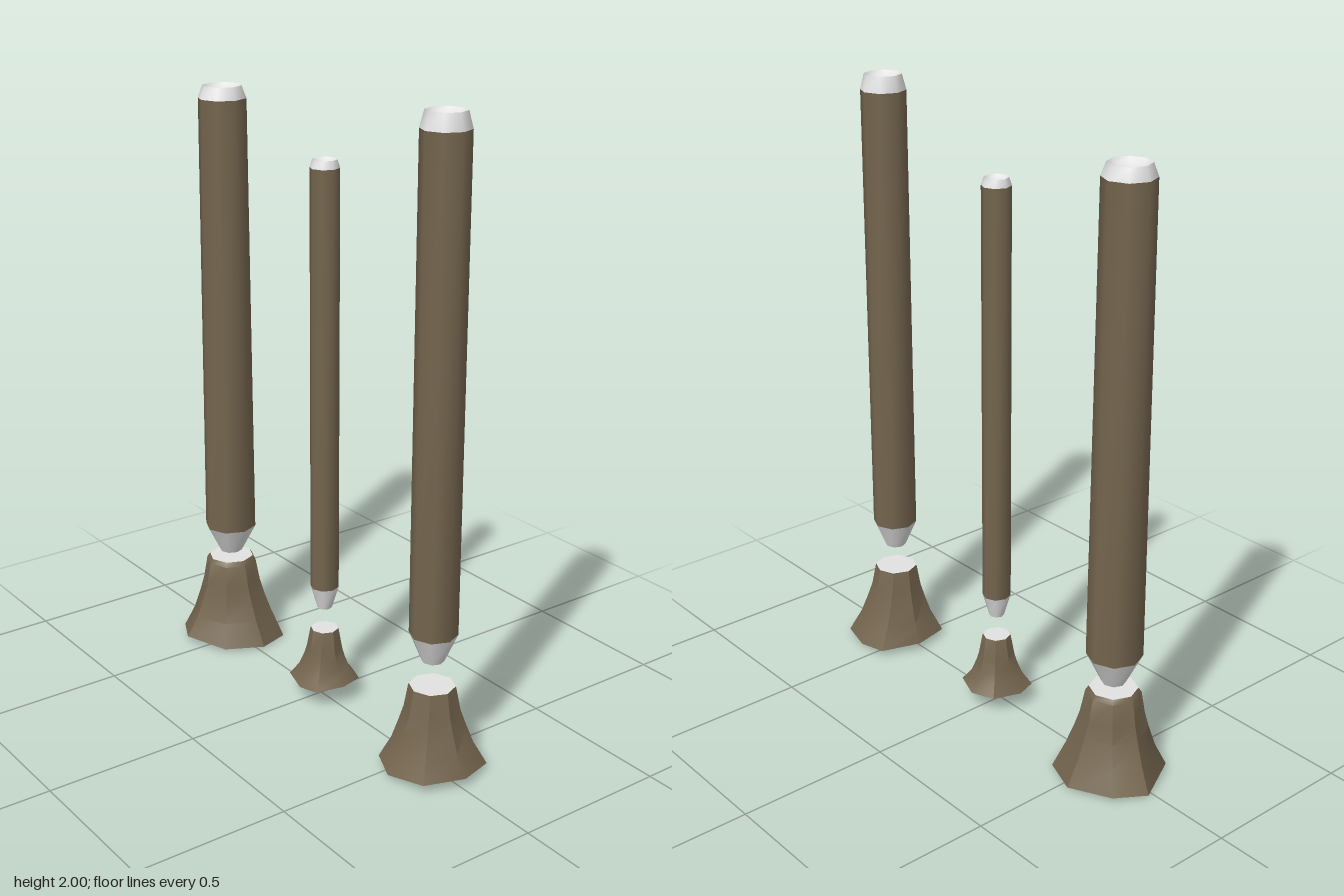
import * as THREE from 'three';
import { toCreasedNormals } from 'three/addons/utils/BufferGeometryUtils.js';

const SIDES = 8;

// Octagonal ring of points around (cx, cz)
const ring = (cx, cz, y, r) => Array.from({ length: SIDES }, (_, i) => {
  const a = (i / SIDES) * Math.PI * 2;
  return [cx + r * Math.cos(a), y, cz + r * Math.sin(a)];
});

// Skin a stack of rings, listed from bottom to top
function loft(rings, crease) {
  const index = [];
  for (let k = 0; k < rings.length - 1; k++) {
    for (let i = 0; i < SIDES; i++) {
      const j = (i + 1) % SIDES;
      const a = k * SIDES + i, b = k * SIDES + j, c = a + SIDES, d = b + SIDES;
      index.push(a, c, b, b, c, d);
    }
  }
  const g = new THREE.BufferGeometry();
  g.setAttribute('position', new THREE.Float32BufferAttribute(rings.flat(2), 3));
  g.setIndex(index);
  return toCreasedNormals(g, crease);
}

// rim: outline of the root flare as [x, y, z]; flare: [height, outward fraction]
const TREES = [
  {
    name: 'largeTree', x: -0.54, z: -0.005,
    cone: [0.32, 0.038], low: [0.415, 0.087], high: [1.89, 0.079], top: [1.93, 0.064],
    stump: [0.3, 0.076], neck: 0.086,
    flare: [[0.09, 0.58], [0.16, 0.31], [0.21, 0.15], [0.285, 0]],
    rim: [[-0.365, 0.005, -0.02], [-0.42, 0.01, 0.105], [-0.56, 0.022, 0.17], [-0.65, 0.02, 0.125],
      [-0.72, 0.005, -0.02], [-0.667, 0.012, -0.12], [-0.53, 0.005, -0.18], [-0.405, 0, -0.13]],
  },
  {
    name: 'smallTree', x: 0.008, z: -0.008,
    cone: [0.315, 0.024], low: [0.39, 0.046], high: [1.755, 0.046], top: [1.78, 0.038],
    stump: [0.24, 0.045], neck: 0.047,
    flare: [[0.1, 0.55], [0.14, 0.3], [0.17, 0.17], [0.235, 0]],
    rim: [[0.117, 0.07, -0.006], [0.087, 0.064, 0.083], [0.02, 0.06, 0.1], [-0.08, 0.06, 0.07],
      [-0.1, 0.058, 0.005], [-0.07, 0.06, -0.088], [0.005, 0.06, -0.118], [0.09, 0.065, -0.088]],
  },
  {
    name: 'tallTree', x: 0.557, z: -0.006,
    cone: [0.36, 0.035], low: [0.45, 0.074], high: [1.95, 0.073], top: [2, 0.06],
    stump: [0.277, 0.071], neck: 0.073,
    flare: [[0.09, 0.56], [0.15, 0.32], [0.2, 0.14], [0.27, 0]],
    rim: [[0.717, 0.03, -0.01], [0.67, 0.028, 0.115], [0.545, 0.015, 0.15], [0.447, 0.02, 0.108],
      [0.41, 0.027, -0.02], [0.463, 0.02, -0.146], [0.556, 0.015, -0.165], [0.67, 0.015, -0.135]],
  },
];

export function createModel() {
  const bark = new THREE.MeshStandardMaterial({ color: 0x74654e, side: THREE.DoubleSide });
  bark.name = 'bark brown';
  const wood = new THREE.MeshStandardMaterial({ color: 0xe2e2e2 });
  wood.name = 'cut wood white';

  const model = new THREE.Group();
  model.name = 'choppedTrees';

  for (const t of TREES) {
    const tree = new THREE.Group();
    tree.name = t.name;
    model.add(tree);
    const add = (name, rings, material, crease) => {
      const mesh = new THREE.Mesh(loft(rings, crease), material);
      mesh.name = name;
      tree.add(mesh);
    };
    const at = ([y, r]) => ring(t.x, t.z, y, r);
    const [topY, topR] = t.top;

    // Floating log: bark, tapered cut end below, hollowed end above
    add('trunkBark', [at(t.low), at(t.high)], bark, 1);
    add('trunkCutEnd', [at([t.cone[0], 0]), at(t.cone), at(t.low)], wood, 1);
    add('trunkTopEnd', [
      at(t.high), at(t.top), at([topY - topR * 0.25, topR * 0.75]), at([topY - topR * 0.4, 0]),
    ], wood, 1);

    // Stump: roots flare from the neck out to an uneven open rim
    const neck = ring(t.x, t.z, 0, t.neck);
    const flare = t.flare.map(([y, f]) => neck.map((p, i) => [
      THREE.MathUtils.lerp(p[0], t.rim[i][0], f), y, THREE.MathUtils.lerp(p[2], t.rim[i][2], f),
    ]));
    add('stumpBark', [t.rim, ...flare, at(t.stump)], bark, 0.7);
    add('stumpCutFace', [at(t.stump), at([t.stump[0], 0])], wood, 0.5);
  }
  return model;
}
